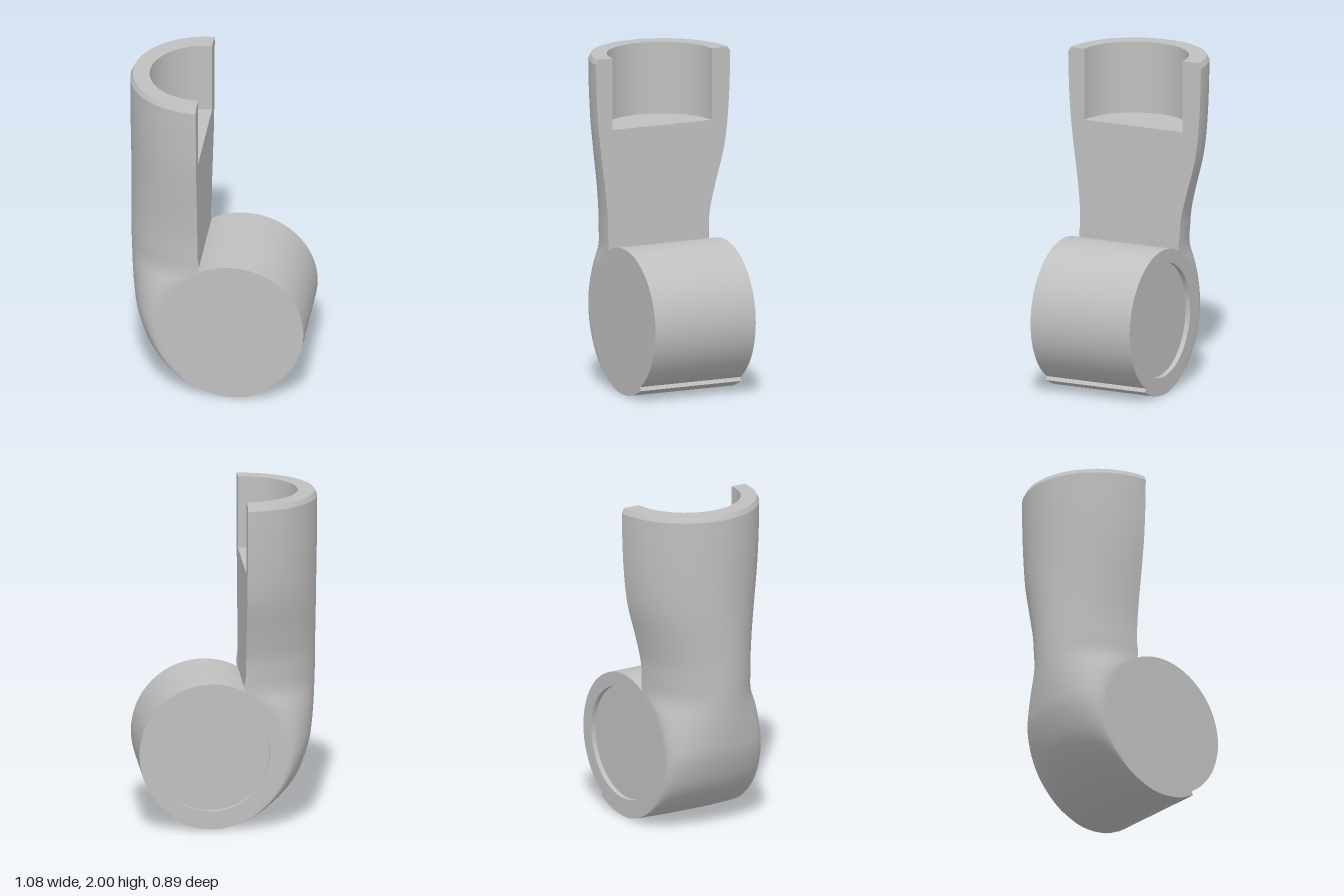
import * as THREE from 'three';
import { toCreasedNormals } from 'three/addons/utils/BufferGeometryUtils.js';

const CX = 0.11, CY = 0.455, R = 0.43;      // barrel axis and radius
const FRONT = 0.365, BACK = -0.30;          // barrel ends
const FLAT_X = -0.095;                      // cut plane of the half-round stem
const SOCKET_R = 0.33, SOCKET_Z = 0.007, SOCKET_Y = 1.565;

const polar = (deg, r) => {
  const a = THREE.MathUtils.degToRad(deg);
  return [CX + r * Math.cos(a), CY + r * Math.sin(a)];
};

// Cross-sections from the stem top, round the bend, to the lip under the barrel.
function makeSections() {
  const keys = [];
  const add = (base, edge, outer, zf, zb) => keys.push({ base, edge, outer, zs: [zf, zb] });
  // stem: height, outer x, front z, back z
  for (const [y, x, zf, zb] of [
    [1.97, -0.54, 0.445, -0.445], [1.8, -0.54, 0.441, -0.441], [1.6, -0.537, 0.43, -0.43],
    [1.4, -0.534, 0.408, -0.405], [1.2, -0.532, 0.382, -0.352], [1.05, -0.53, 0.368, -0.315],
    [0.94, -0.53, FRONT, -0.303], [0.83, -0.527, FRONT, BACK],
  ]) add([FLAT_X, y], [FLAT_X, y], [x, y], zf, zb);
  // shoulder: sections fan out around the barrel
  for (const [deg, r, x, y] of [
    [140, 0.438, -0.521, 0.7], [160, 0.447, -0.51, 0.575], [180, 0.455, -0.488, 0.455],
  ]) add(polar(deg, R - 0.005), polar(deg, r), [x, y], FRONT, BACK);
  // bend: angle, outer radius
  for (const [deg, r] of [
    [198, 0.556], [215, 0.512], [235, 0.475], [255, 0.459], [270, 0.455], [286, 0.455], [301, 0.455],
  ]) add(polar(deg, R - 0.005), polar(deg, 0.455), polar(deg, r), FRONT, BACK);

  const curve = (k) => new THREE.CatmullRomCurve3(
    keys.map((s) => new THREE.Vector3(s[k][0], s[k][1], 0)), false, 'catmullrom', 0.5);
  const curves = { base: curve('base'), edge: curve('edge'), outer: curve('outer'), zs: curve('zs') };
  const rows = [];
  const n = (keys.length - 1) * 4;
  for (let i = 0; i <= n; i++) {
    const s = {};
    for (const k in curves) s[k] = curves[k].getPoint(i / n).toArray();
    rows.push(s);
  }
  // small chamfer at the rim
  rows.unshift({ base: [FLAT_X, 2], edge: [FLAT_X, 2], outer: [-0.525, 2], zs: [0.43, -0.43] });
  return rows;
}

// Half-ellipse outline of one section, front edge to back edge.
function sectionPoints({ base, edge, outer, zs }) {
  const [zf, zb] = zs, mid = (zf + zb) / 2, half = (zf - zb) / 2, steps = 40;
  const pts = [[base[0], base[1], zf]];
  for (let i = 0; i <= steps; i++) {
    const t = (Math.PI * i) / steps, s = Math.sin(t);
    pts.push([edge[0] + (outer[0] - edge[0]) * s, edge[1] + (outer[1] - edge[1]) * s,
      mid + half * Math.cos(t)]);
  }
  pts.push([base[0], base[1], zb]);
  return pts;
}

function loft(rings) {
  const n = rings[0].length, index = [];
  for (let j = 0; j < rings.length - 1; j++) {
    for (let i = 0; i < n - 1; i++) {
      const a = j * n + i, b = a + n;
      index.push(a, a + 1, b + 1, a, b + 1, b);
    }
  }
  const last = (rings.length - 1) * n;
  for (let i = 1; i < n - 1; i++) index.push(last, last + i, last + i + 1);   // lip end
  const g = new THREE.BufferGeometry();
  g.setAttribute('position', new THREE.Float32BufferAttribute(rings.flat(2), 3));
  g.setIndex(index);
  return toCreasedNormals(g, 0.42);
}

export function createModel() {
  const group = new THREE.Group();
  const grey = new THREE.MeshStandardMaterial({ color: 0xc0c0c0, side: THREE.DoubleSide });
  grey.name = 'plain grey';
  const add = (name, geometry) => {
    const mesh = new THREE.Mesh(geometry, grey);
    mesh.name = name;
    group.add(mesh);
    return mesh;
  };
  const flat = (pts) => new THREE.ShapeGeometry(
    new THREE.Shape(pts.map(([x, y]) => new THREE.Vector2(x, y))));

  // Barrel with a shallow round recess in its back end
  const recess = 0.345, floor = BACK + 0.03;
  const profile = [[0, floor], [recess, floor], [recess, BACK], [R, BACK], [R, FRONT], [0, FRONT]]
    .map(([x, y]) => new THREE.Vector2(x, y));
  const barrel = new THREE.LatheGeometry(profile, 64).rotateX(Math.PI / 2);
  add('barrel', toCreasedNormals(barrel, 0.5)).position.set(CX, CY, 0);

  // Half-round stem sweeping under the barrel
  const rows = makeSections();
  const rings = rows.map(sectionPoints);
  add('stemAndBend', loft(rings));

  // Flat cut face of the stem, notched by the socket
  const stem = rows.filter((s) => s.base[1] > 0.8 && Math.abs(s.base[0] - FLAT_X) < 0.01);
  const z0 = SOCKET_Z + SOCKET_R, z1 = SOCKET_Z - SOCKET_R;
  add('stemCutFace', flat([
    ...stem.map((s) => [-s.zs[0], s.base[1]]),
    ...stem.map((s) => [-s.zs[1], s.base[1]]).reverse(),
    [-z1, 2], [-z1, SOCKET_Y], [-z0, SOCKET_Y], [-z0, 2],
  ]).rotateY(Math.PI / 2)).position.x = FLAT_X;

  // Rim on top, between the outer outline and the socket
  const arc = [];
  for (let i = 0; i <= 16; i++) {
    const t = Math.PI * (1 - i / 16);
    arc.push([FLAT_X - SOCKET_R * Math.sin(t), -SOCKET_Z - SOCKET_R * Math.cos(t)]);
  }
  add('rim', flat([...rings[0].slice(1, -1).map(([x, , z]) => [x, -z]), ...arc])
    .rotateX(-Math.PI / 2)).position.y = 2;

  // Half-round socket
  const depth = 2 - SOCKET_Y;
  add('socketWall', new THREE.CylinderGeometry(SOCKET_R, SOCKET_R, depth, 16, 1, true, Math.PI, Math.PI))
    .position.set(FLAT_X, SOCKET_Y + depth / 2, SOCKET_Z);
  add('socketFloor', new THREE.CircleGeometry(SOCKET_R, 16, Math.PI / 2, Math.PI).rotateX(-Math.PI / 2))
    .position.set(FLAT_X, SOCKET_Y, SOCKET_Z);

  return group;
}
